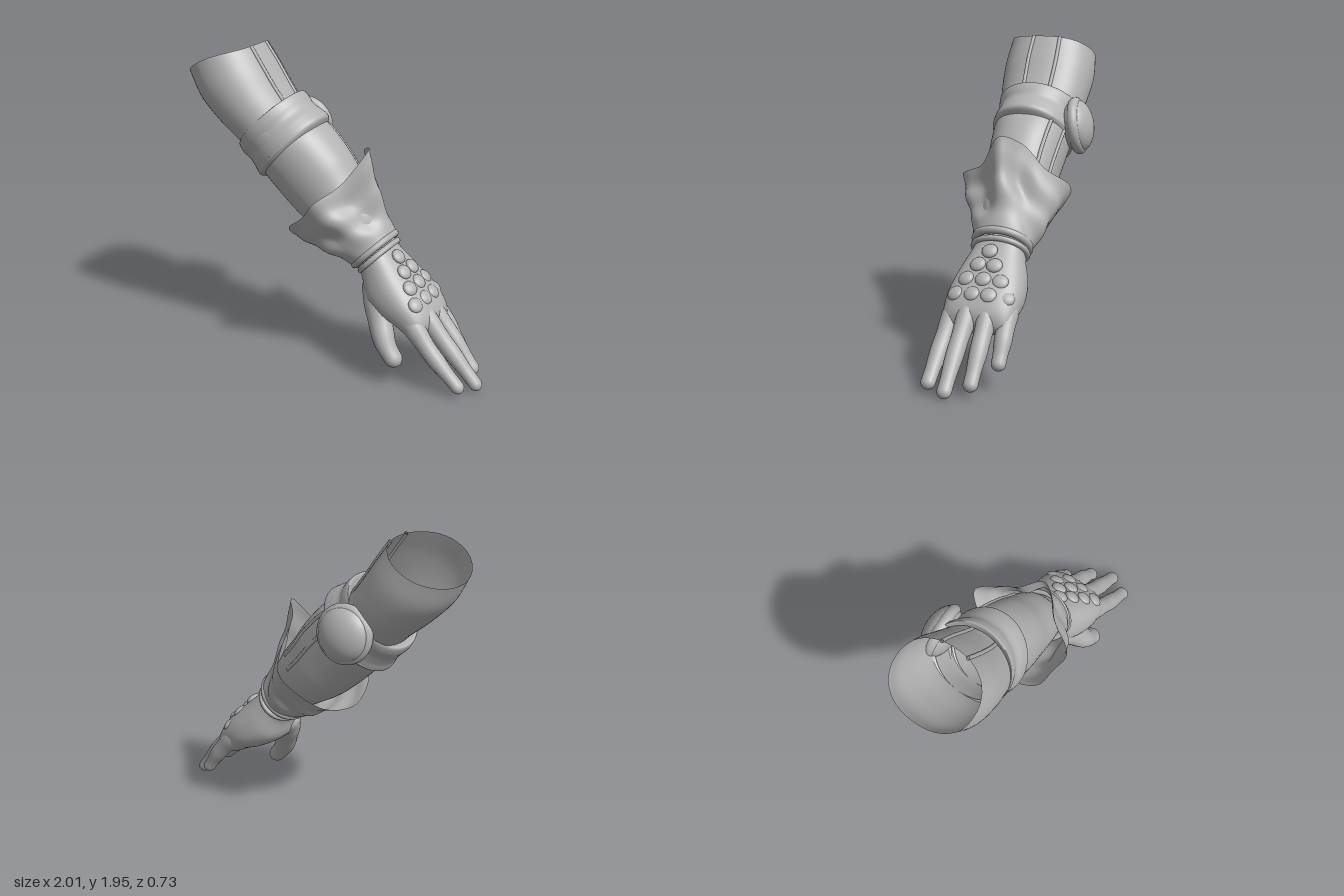
import * as THREE from 'three';

const V = (x, y, z) => new THREE.Vector3(x, y, z);
const grey = new THREE.MeshStandardMaterial({ color: 0xb2b2b2, side: THREE.DoubleSide });
grey.name = 'grey';

// Surface through rows of points, closed around the columns
function grid(fn, rows, cols) {
  const pos = [], idx = [];
  for (let i = 0; i <= rows; i++) {
    for (let j = 0; j < cols; j++) {
      pos.push(...fn(i / rows, (j / cols) * Math.PI * 2).toArray());
      if (i === rows) continue;
      const a = i * cols + j, b = i * cols + (j + 1) % cols;
      idx.push(a, b, a + cols, b, b + cols, a + cols);
    }
  }
  const g = new THREE.BufferGeometry();
  g.setAttribute('position', new THREE.Float32BufferAttribute(pos, 3));
  g.setIndex(idx);
  g.computeVertexNormals();
  return g;
}

// A ring is [palm side x, y, back side x, y, lowest z, highest z]; angle 0 is the back side, then +z
function ringPoint([px, py, dx, dy, z0, z1], t, power = 1) {
  const bend = v => Math.sign(v) * Math.abs(v) ** power;
  const c = bend(Math.cos(t)) / 2, s = bend(Math.sin(t)) / 2;
  return V((px + dx) / 2 + (dx - px) * c, (py + dy) / 2 + (dy - py) * c, (z0 + z1) / 2 + (z1 - z0) * s);
}

// Smooth surface function through a list of rings
function loft(rings, power) {
  const a = new THREE.CatmullRomCurve3(rings.map(r => V(r[0], r[1], r[4])));
  const b = new THREE.CatmullRomCurve3(rings.map(r => V(r[2], r[3], r[5])));
  return (s, t) => {
    const p = a.getPoint(s), q = b.getPoint(s);
    return ringPoint([p.x, p.y, q.x, q.y, p.z, q.z], t, power);
  };
}

// Tapered digit, rounded at both ends, flatter toward the tip
function digit(points, r0, r1) {
  const curve = new THREE.CatmullRomCurve3(points.map(p => V(...p)));
  const len = curve.getLength();
  return grid((s, t) => {
    const k = (1 - Math.cos(Math.PI * s)) / 2;
    const p = curve.getPointAt(k), axis = curve.getTangentAt(k);
    const w = V(0, 0, 1).addScaledVector(axis, -axis.z).normalize();
    const u = w.clone().cross(axis);
    const tip = Math.max(0, 1 - (len * (1 - k)) / r1, 1 - (len * k) / r0);
    const r = (r0 + (r1 - r0) * k + 0.002 * Math.cos(k * 19)) * Math.sqrt(Math.max(0, 1 - tip * tip));
    return p.addScaledVector(u, r * (1.2 - 0.35 * k) * Math.cos(t)).addScaledVector(w, r * Math.sin(t));
  }, 40, 20);
}

export function createModel() {
  const model = new THREE.Group();
  model.name = 'armoredArm';
  const add = (name, geo, parent = model) => {
    const m = new THREE.Mesh(geo, grey);
    m.name = name;
    parent.add(m);
    return m;
  };
  const band = (name, ring, r) => {
    const pts = Array.from({ length: 24 }, (_, i) => ringPoint(ring, (i / 24) * Math.PI * 2));
    return add(name, new THREE.TubeGeometry(new THREE.CatmullRomCurve3(pts, true), 64, r, 10, true));
  };

  // Sleeve, open at the shoulder end, with a rim that bows up toward the front
  const tube = loft([
    [-1.0, 1.74, -0.58, 1.95, -0.25, 0.31],
    [-0.92, 1.595, -0.495, 1.83, -0.265, 0.325],
    [-0.785, 1.455, -0.40, 1.69, -0.255, 0.31],
    [-0.62, 1.31, -0.31, 1.58, -0.235, 0.28],
    [-0.48, 1.13, -0.14, 1.49, -0.225, 0.26],
    [-0.32, 0.97, 0.01, 1.34, -0.21, 0.24],
    [-0.2, 0.87, 0.1, 1.21, -0.2, 0.22],
    [0.0, 0.75, 0.24, 1.02, -0.17, 0.19],
    [0.14, 0.66, 0.3, 0.85, -0.14, 0.16],
  ], 0.92);
  const sleeve = (s, t) => {
    const bow = (0.012 + 0.025 * Math.sin(t)) * Math.sin(t) ** 2 * (1 - s) ** 8;
    return tube(s, t).addScaledVector(V(-0.5, 0.87, 0), bow);
  };
  add('sleeve', grid(sleeve, 64, 56));

  // Raised seams along the sleeve: [angle, start, end]
  for (const [t, s0, s1] of [[0.22, 0, 0.42], [-0.35, 0, 0.42], [-0.75, 0.45, 0.8], [-1.25, 0.45, 0.8]]) {
    const pts = Array.from({ length: 10 }, (_, i) => sleeve(s0 + (s1 - s0) * i / 9, t));
    add('seam', new THREE.TubeGeometry(new THREE.CatmullRomCurve3(pts), 30, 0.012, 8));
  }

  // Elbow band with softly rolled edges
  add('elbowBand', grid(loft([
    [-0.62, 1.31, -0.33, 1.62, -0.23, 0.27],
    [-0.665, 1.30, -0.32, 1.675, -0.25, 0.29],
    [-0.64, 1.25, -0.285, 1.65, -0.25, 0.285],
    [-0.60, 1.215, -0.25, 1.61, -0.237, 0.27],
    [-0.56, 1.165, -0.19, 1.58, -0.24, 0.277],
    [-0.53, 1.12, -0.14, 1.545, -0.24, 0.275],
    [-0.48, 1.13, -0.15, 1.49, -0.215, 0.25],
  ]), 48, 56));
  band('elbowBandLowerRoll', [-0.525, 1.135, -0.155, 1.535, -0.23, 0.265], 0.015);

  // Elbow guard: domed disc with a rim, facing the rear
  const guard = new THREE.Group();
  guard.name = 'elbowGuard';
  guard.position.set(-0.413, 1.4, -0.258);
  guard.rotation.set(0.14, Math.PI + 0.1, 0);
  add('guardRim', new THREE.TorusGeometry(0.146, 0.036, 14, 48), guard);
  const dome = add('guardDome', new THREE.SphereGeometry(0.168, 40, 24), guard);
  dome.scale.z = 0.6;
  model.add(guard);

  // Flared gauntlet cuff: uneven rim drawn in to the wrist, hollowed on the back side, with soft folds
  const rim = new THREE.CatmullRomCurve3([
    V(0.2, 1.4, 0.04), V(0.09, 1.2, 0.2), V(0.0, 1.12, 0.36), V(-0.1, 1.0, 0.335),
    V(-0.21, 0.91, 0.3), V(-0.25, 0.78, 0.1), V(-0.18, 0.8, -0.1), V(-0.1, 0.88, -0.21),
    V(0.0, 1.08, -0.35), V(0.08, 1.2, -0.21), V(0.1, 1.34, -0.08),
  ], true);
  const wrist = [0.12, 0.635, 0.345, 0.87, -0.175, 0.195];
  add('gauntletCuff', grid((s, t) => {
    const end = ringPoint(wrist, t);
    const out = end.clone().sub(V(0.2325, 0.7525, 0.01)).normalize();
    const fold = 0.012 * Math.sin(t * 5 + s * 5) + 0.007 * Math.sin(s * 15 + t * 2) - 0.025 * Math.max(0, Math.cos(t));
    return rim.getPoint(t / (Math.PI * 2)).lerp(end, s).addScaledVector(out, fold * Math.sin(Math.PI * s));
  }, 36, 88));
  band('cuffFold', [0.125, 0.645, 0.335, 0.86, -0.16, 0.18], 0.024);
  band('wristBand', [0.17, 0.62, 0.352, 0.812, -0.16, 0.182], 0.018);

  // Hand, thinning out toward the knuckles
  add('palm', grid(loft([
    [0.1, 0.7, 0.28, 0.88, -0.13, 0.15],
    [0.185, 0.6, 0.355, 0.78, -0.15, 0.175],
    [0.235, 0.47, 0.46, 0.68, -0.19, 0.225],
    [0.345, 0.39, 0.555, 0.59, -0.21, 0.25],
    [0.45, 0.345, 0.625, 0.515, -0.205, 0.25],
    [0.535, 0.3, 0.67, 0.435, -0.19, 0.24],
    [0.605, 0.29, 0.675, 0.37, -0.17, 0.215],
    [0.65, 0.32, 0.65, 0.32, 0.02, 0.02],
  ], 0.78), 48, 48));
  const fingers = {
    indexFinger: [[0.42, 0.52, 0.13], [0.555, 0.415, 0.18], [0.725, 0.235, 0.205], [0.935, 0.035, 0.212]],
    middleFinger: [[0.43, 0.55, 0.06], [0.575, 0.445, 0.075], [0.775, 0.245, 0.085], [0.995, 0.012, 0.085]],
    ringFinger: [[0.43, 0.54, -0.03], [0.57, 0.44, -0.04], [0.745, 0.255, -0.045], [0.915, 0.04, -0.045]],
    littleFinger: [[0.42, 0.53, -0.1], [0.54, 0.425, -0.145], [0.655, 0.29, -0.157], [0.765, 0.13, -0.16]],
  };
  for (const [name, pts] of Object.entries(fingers)) add(name, digit(pts, 0.071, 0.042));
  add('thumb', digit([[0.27, 0.61, 0.05], [0.325, 0.46, 0.135], [0.385, 0.325, 0.205], [0.435, 0.235, 0.238], [0.525, 0.125, 0.25]], 0.096, 0.057));

  // Knuckle studs in a triangle on the back of the hand: [x, y, z]
  const studs = [
    [0.41, 0.75, 0.025], [0.475, 0.68, 0.075], [0.475, 0.68, -0.03],
    [0.54, 0.605, 0.125], [0.545, 0.61, 0.015], [0.535, 0.6, -0.09],
    [0.6, 0.525, 0.17], [0.61, 0.535, 0.06], [0.61, 0.535, -0.045], [0.58, 0.515, -0.145],
  ];
  for (const [x, y, z] of studs) {
    const stud = add('stud', new THREE.SphereGeometry(0.05, 20, 12));
    stud.position.set(x - 0.008, y - 0.008, z);
    stud.scale.set(0.95, 0.5, 1);
    stud.quaternion.setFromUnitVectors(V(0, 1, 0), V(0.7, 0.72, z * 1.6).normalize());
  }
  return model;
}
